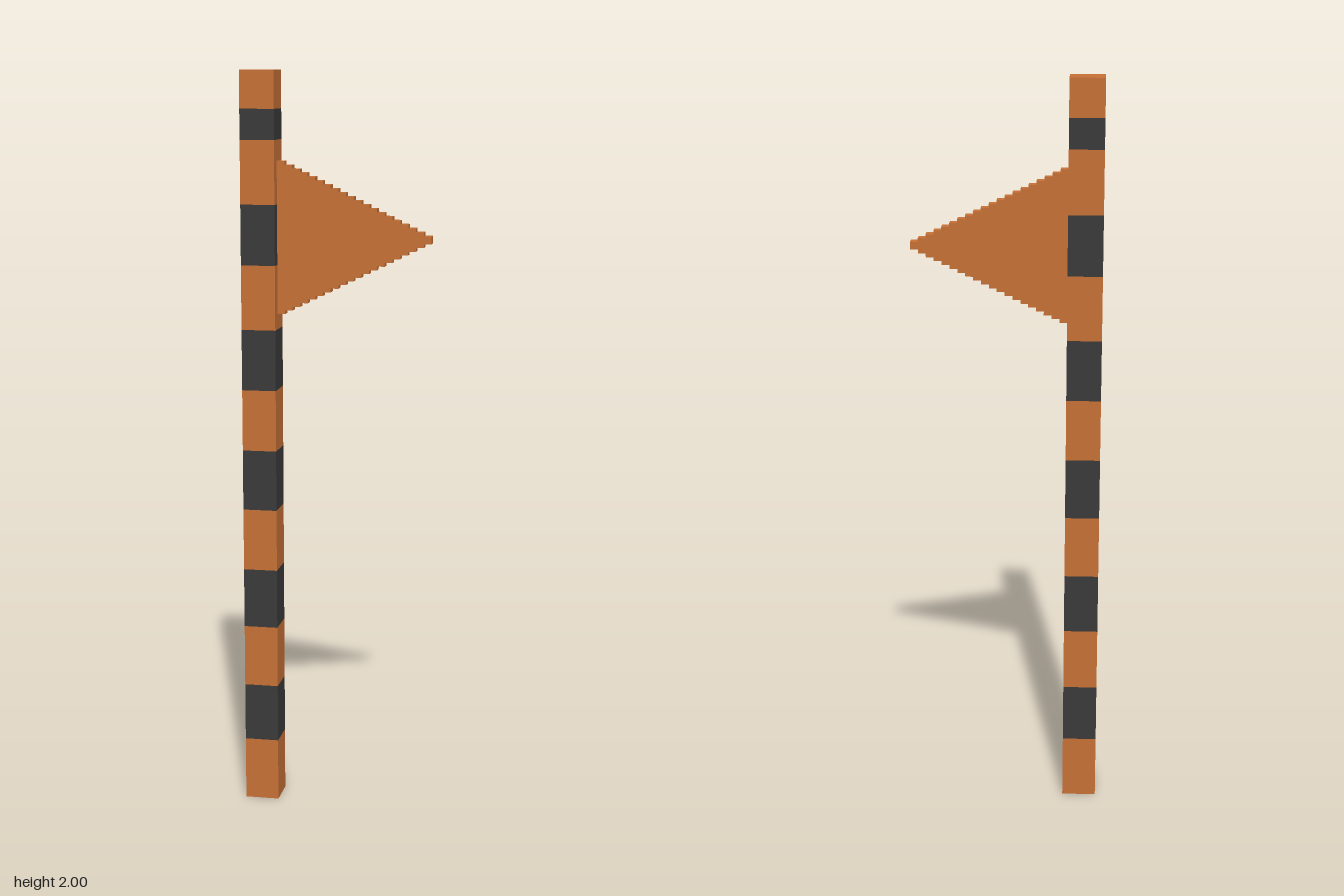
import * as THREE from 'three';

export function createModel() {
  const model = new THREE.Group();
  const orange = new THREE.MeshStandardMaterial({ color: 0xc67036 });
  orange.name = 'orange';
  const charcoal = new THREE.MeshStandardMaterial({ color: 0x3a3a3a });
  charcoal.name = 'charcoal';

  // Square pole: bands alternate orange and charcoal between these heights
  const poleWidth = 0.092;
  const poleX = -0.206;
  const heights = [0, 0.172, 0.33, 0.498, 0.66, 0.828, 0.992, 1.157, 1.32, 1.492, 1.652, 1.82, 1.9, 2];
  const pole = new THREE.Group();
  pole.name = 'pole';
  for (let i = 0; i < heights.length - 1; i++) {
    const h = heights[i + 1] - heights[i];
    const dark = i % 2 === 1;
    const band = new THREE.Mesh(new THREE.BoxGeometry(poleWidth, h, poleWidth), dark ? charcoal : orange);
    band.name = dark ? 'darkBand' : 'orangeBand';
    band.position.set(poleX, heights[i] + h / 2, 0);
    pole.add(band);
  }
  model.add(pole);

  // Pennant: a stepped triangle, extruded to a thin slab
  const steps = 20;
  const startX = poleX + poleWidth / 2;
  const stepX = (0.252 - startX) / steps;
  const stepY = 0.404 / 2 / steps;
  const depth = 0.03;
  const upper = [];
  for (let i = 0; i < steps; i++) {
    const y = (steps - i) * stepY;
    upper.push(new THREE.Vector2(startX + i * stepX, y), new THREE.Vector2(startX + (i + 1) * stepX, y));
  }
  const lower = upper.map((p) => new THREE.Vector2(p.x, -p.y));
  const outline = new THREE.Shape([...lower, ...upper.reverse()]);
  const pennant = new THREE.Mesh(new THREE.ExtrudeGeometry(outline, { depth, bevelEnabled: false }), orange);
  pennant.name = 'pennant';
  pennant.position.set(0, 1.563, -depth / 2);
  model.add(pennant);

  return model;
}
